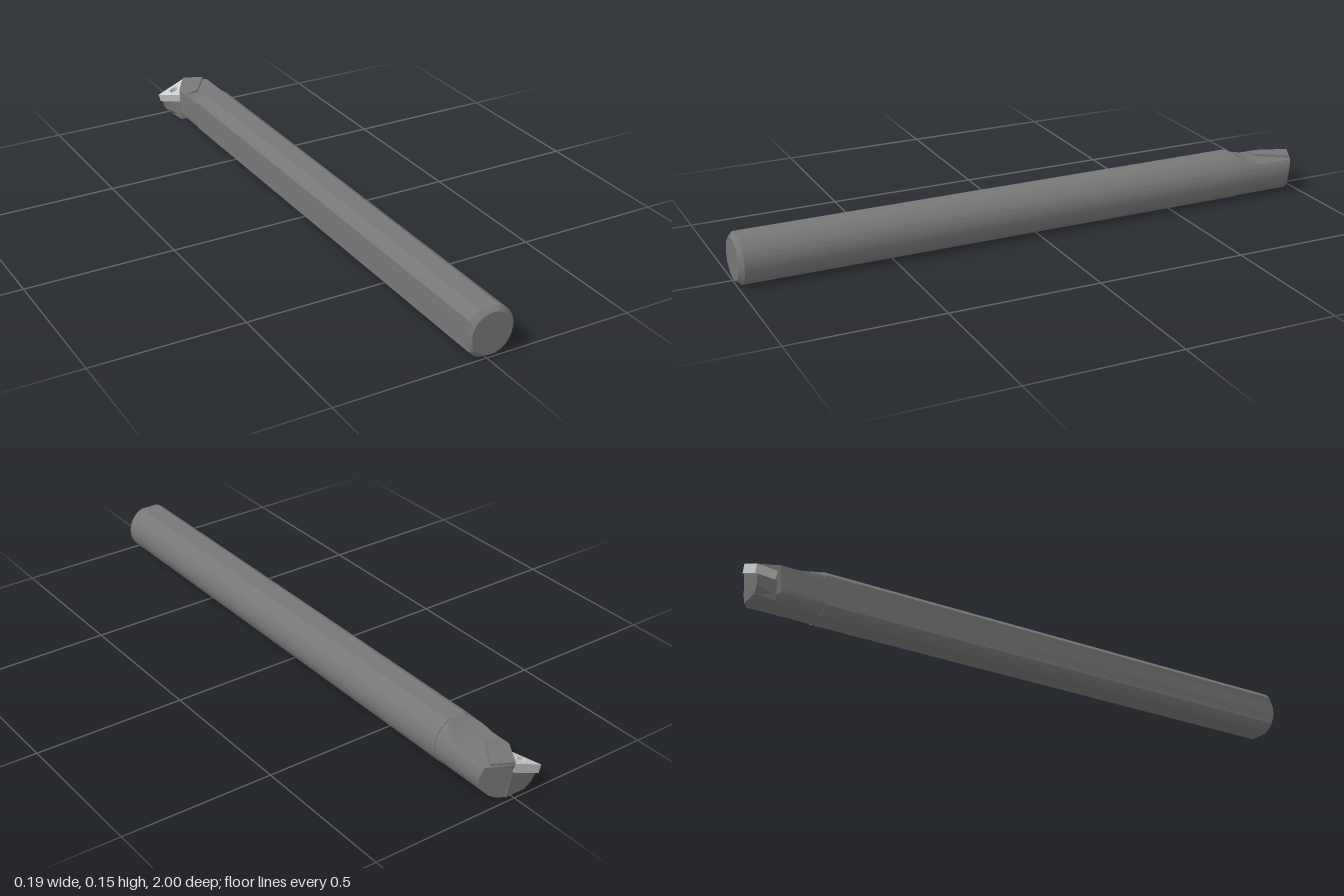
import * as THREE from 'three';
import { toCreasedNormals } from 'three/addons/utils/BufferGeometryUtils.js';

const CX = 0.014, CY = 0.0765, R = 0.083, FLAT = -0.053;

// Closed loft through rings of [x, y, z] points, capped at both ends by strips
function loft(rings) {
  const pos = [], n = rings[0].length;
  const v = (p) => new THREE.Vector3(...p);
  const tri = (a, b, c) => {
    const area = v(b).sub(v(a)).cross(v(c).sub(v(a))).length();
    if (area > 1e-9) pos.push(...a, ...b, ...c);
  };
  for (let k = 0; k < rings.length - 1; k++) {
    const A = rings[k], B = rings[k + 1];
    for (let i = 0; i < n; i++) {
      const j = (i + 1) % n;
      tri(A[i], B[i], A[j]);
      tri(A[j], B[i], B[j]);
    }
  }
  const first = rings[0], last = rings[rings.length - 1];
  for (let i = 0; i < n / 2; i++) {
    const a = i, b = (i + 1) % n, c = (n - i - 1) % n, d = (n - i) % n;
    tri(first[a], first[b], first[c]);
    tri(first[a], first[c], first[d]);
    tri(last[a], last[c], last[b]);
    tri(last[a], last[d], last[c]);
  }
  const g = new THREE.BufferGeometry();
  g.setAttribute('position', new THREE.Float32BufferAttribute(pos, 3));
  return toCreasedNormals(g, 0.35);
}

// Angles round the bar, with exact stops at the corners of the flats
const half = [0];
const flatAngle = Math.asin(CY / R);
const stops = [0, flatAngle, Math.PI - flatAngle, Math.acos((FLAT - CX) / R), Math.PI];
[20, 10, 8, 6].forEach((steps, s) => {
  for (let i = 1; i <= steps; i++) half.push(THREE.MathUtils.lerp(stops[s], stops[s + 1], i / steps));
});
const angles = [...half, ...half.slice(1, -1).reverse().map((a) => -a)];

// Round section with a bottom flat, a side flat and a top at the given height
function section(z, r, top, endZ = () => -2) {
  return angles.map((a) => {
    const x = Math.max(FLAT, CX + r * Math.cos(a));
    const y = THREE.MathUtils.clamp(CY + r * Math.sin(a), 0, top);
    return [x, y, Math.max(z, endZ(x, y))];
  });
}

export function createModel() {
  const group = new THREE.Group();
  const steel = new THREE.MeshStandardMaterial({ color: 0x777777 });
  const carbide = new THREE.MeshStandardMaterial({ color: 0xcccccc });
  const add = (name, geometry, material) => {
    const mesh = new THREE.Mesh(geometry, material);
    mesh.name = name;
    group.add(mesh);
  };

  // Long shank with a chamfered butt end
  add('shank', loft([
    section(1, 0.068, 0.153),
    section(0.985, R, 0.153),
    section(-0.755, R, 0.153),
  ]), steel);

  // Head: scooped top, angled nose on one side and insert pocket on the other
  const nose = (x, y) => -1 + Math.max(0, (x - 0.01) * 0.5, -x * 1.7) + Math.max(0, 0.125 - y) * 0.12;
  const scoop = [
    [-0.755, 0.153], [-0.765, 0.1455], [-0.78, 0.137], [-0.8, 0.1285], [-0.82, 0.1225],
    [-0.84, 0.1185], [-0.86, 0.117], [-0.9, 0.117], [-1, 0.117],
  ];
  add('head', loft(scoop.map(([z, top]) => section(z, 0.081, top, nose))), steel);

  // Raised land on the head, ending in a slanted step
  const land = [
    [0.004, 0.125, -0.999], [-0.048, 0.119, -0.907], [-0.05, 0.117, -0.865],
    [0, 0.126, -0.865], [0.07, 0.127, -0.965],
  ];
  add('headLand', loft([land, land.map(([x, , z]) => [x, 0.1, z])]), steel);

  // Seat that carries the insert, bulging out beside the head
  add('insertSeat', loft([
    [[-0.088, 0.049, -0.992], [-0.05, 0.066, -0.915], [0, 0.087, -0.9], [0.01, 0.091, -0.996]],
    [[-0.076, 0.02, -0.987], [-0.05, 0.02, -0.913], [0, 0.02, -0.9], [0.018, 0.02, -0.988]],
    [[-0.055, 0, -0.984], [-0.047, 0, -0.912], [0, 0, -0.9], [0.02, 0, -0.984]],
  ]), steel);

  // Tilted triangular cutting insert with a screw hole
  const shape = new THREE.Shape();
  shape.moveTo(-0.106, 1);
  shape.lineTo(-0.056, 0.912);
  shape.lineTo(-0.004, 1);
  shape.closePath();
  const hole = new THREE.Path();
  hole.absarc(-0.057, 0.971, 0.014, 0, Math.PI * 2, true);
  shape.holes.push(hole);
  const insert = new THREE.ExtrudeGeometry(shape, { depth: 0.03, bevelEnabled: false, curveSegments: 24 });
  insert.rotateX(-Math.PI / 2);
  const p = insert.attributes.position;
  for (let i = 0; i < p.count; i++) {
    const x = p.getX(i) + 0.008, h = p.getY(i);
    p.setXYZ(i, x + (0.03 - h) * 0.27, 0.088 + 0.43 * x + h + (0.03 - h) * 0.1, p.getZ(i));
  }
  add('cuttingInsert', toCreasedNormals(insert, 0.5), carbide);

  return group;
}
